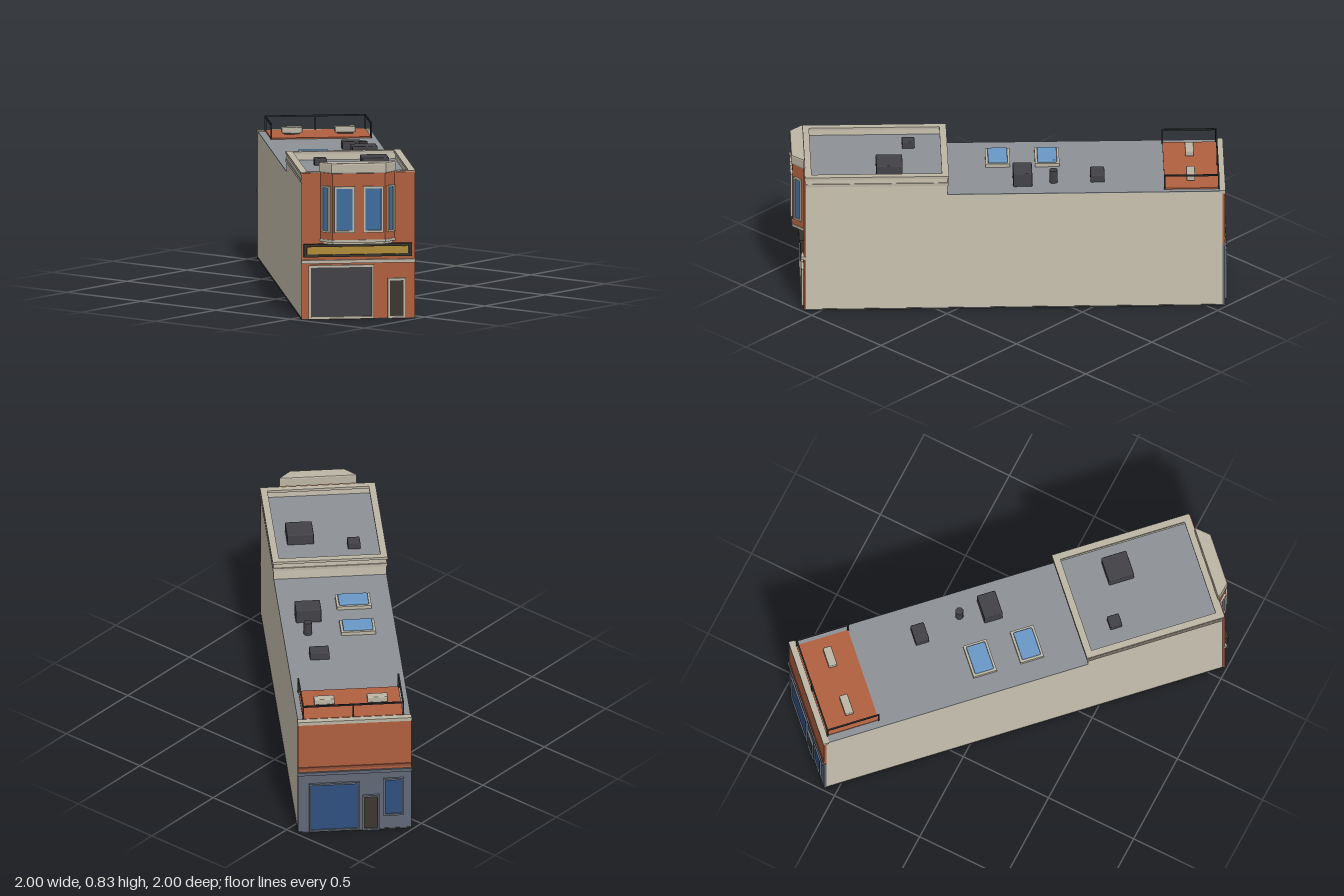
import * as THREE from 'three';
import { RoundedBoxGeometry } from 'three/addons/geometries/RoundedBoxGeometry.js';

const mat = (color) => new THREE.MeshStandardMaterial({ color });
const M = {
  wall: mat(0xc8c2b0), stone: mat(0xbdb6a6), brick: mat(0xb0603f), darkBrick: mat(0x8f4e36),
  roof: mat(0x8d9297), dark: mat(0x424146), base: mat(0x454749), shop: mat(0x626976),
  glass: mat(0x3f6d9c), shopGlass: mat(0x2f4f80), sky: mat(0x6a98c6), gold: mat(0xb08d38),
  door: mat(0x3d3630), sign: mat(0x37332c), metal: mat(0x2b2d30),
};

export function createModel() {
  const model = new THREE.Group();
  model.name = 'cornerShopBuilding';
  // The building is laid out along z, then turned 45 degrees.
  const b = new THREE.Group();
  b.name = 'building';
  b.rotation.y = Math.PI / 4;
  model.add(b);

  const add = (name, geo, m, parent = b) => {
    const mesh = new THREE.Mesh(geo, m);
    mesh.name = name;
    parent.add(mesh);
    return mesh;
  };
  // Box given by its limits on each axis
  const box = (name, m, x0, x1, y0, y1, z0, z1, parent = b) => {
    const mesh = add(name, new THREE.BoxGeometry(x1 - x0, y1 - y0, z1 - z0), m, parent);
    mesh.position.set((x0 + x1) / 2, (y0 + y1) / 2, (z0 + z1) / 2);
    return mesh;
  };
  // Rounded box standing at height y0
  const rbox = (name, m, x, z, w, d, y0, y1, r = 0.006) => {
    const mesh = add(name, new RoundedBoxGeometry(w, y1 - y0, d, 2, r), m);
    mesh.position.set(x, (y0 + y1) / 2, z);
  };
  const rectPts = (x0, x1, y0, y1) => [[x0, y0], [x1, y0], [x1, y1], [x0, y1]].map((p) => new THREE.Vector2(...p));
  const ring = (x0, x1, y0, y1, t, tz = t) => {
    const s = new THREE.Shape(rectPts(x0, x1, y0, y1));
    s.holes.push(new THREE.Path(rectPts(x0 + t, x1 - t, y0 + tz, y1 - tz)));
    return s;
  };
  // Plan outline (x, z) raised from y0 to y1
  const prism = (name, m, shape, y0, y1, bevel = 0) => {
    const g = new THREE.ExtrudeGeometry(shape, {
      depth: y1 - y0 - bevel * 2, bevelEnabled: bevel > 0, bevelSize: bevel,
      bevelThickness: bevel, bevelOffset: -bevel, bevelSegments: 2,
    });
    g.rotateX(Math.PI / 2).translate(0, y1 - bevel, 0);
    return add(name, g, m);
  };
  // Framed opening, facing +z, with its base centre at the origin
  const opening = (name, pane, w, h, x, y, z, turn = 0, t = 0.012, frame = M.stone) => {
    const g = new THREE.Group();
    g.name = name;
    g.position.set(x, y, z);
    g.rotation.y = turn;
    b.add(g);
    const f = new THREE.ExtrudeGeometry(ring(-w / 2, w / 2, 0, h, t), { depth: 0.012, bevelEnabled: false });
    add('frame', f, frame, g);
    box('pane', pane, -w / 2 + t, w / 2 - t, t, h - t, -0.002, 0.005, g);
  };

  const W = 0.296, F = 1.1, STEP = 0.35;

  // Main volumes
  box('base', M.base, -W - 0.002, W + 0.002, 0, 0.008, -1.102, F);
  box('rearBody', M.wall, -W, W, 0.008, 0.667, -1.09, STEP);
  box('rearRoof', M.roof, -W, W, 0.667, 0.671, -1.09, STEP);
  box('frontBody', M.wall, -W, W, 0.008, 0.73, STEP, 1.09);
  box('frontRoof', M.roof, -W + 0.01, W - 0.01, 0.73, 0.735, STEP + 0.01, 1.08);

  // Parapet with string courses
  prism('parapet', M.wall, ring(-W, W, STEP, 1.09, 0.024), 0.73, 0.768);
  prism('parapetCoping', M.stone, ring(-W - 0.006, W + 0.006, STEP - 0.008, 1.095, 0.036), 0.766, 0.78);
  prism('stringCourse', M.stone, ring(-W - 0.005, W + 0.005, STEP - 0.006, 1.09, 0.02), 0.724, 0.74);

  // Front facade
  box('frontFacade', M.brick, -W - 0.002, W + 0.002, 0.006, 0.775, 1.088, F);
  box('frontBelt', M.stone, -W - 0.004, W + 0.004, 0.298, 0.316, 1.09, F + 0.012);
  opening('shutter', M.dark, 0.345, 0.285, -0.09, 0.004, F);
  opening('frontDoor', M.door, 0.095, 0.212, 0.202, 0.004, F);

  // Sign board without lettering
  box('signBack', M.sign, -0.288, 0.28, 0.335, 0.4, F, F + 0.008);
  box('signPanel', M.gold, -0.268, 0.26, 0.347, 0.386, F, F + 0.013);
  box('signTop', M.sign, -0.288, 0.28, 0.388, 0.402, F, F + 0.024);
  box('signBottom', M.sign, -0.288, 0.28, 0.333, 0.345, F, F + 0.016);
  for (const x of [-0.288, 0.266]) box('signEnd', M.sign, x, x + 0.014, 0.335, 0.4, F, F + 0.018);

  // Bay window: outline grown by e
  const bay = (e) => new THREE.Shape([
    [-0.197 - e, 1.092], [0.191 + e, 1.092], [0.191 + e, F],
    [0.136 + e * 0.5, F + 0.055 + e], [-0.142 - e * 0.5, F + 0.055 + e], [-0.197 - e, F],
  ].map((p) => new THREE.Vector2(...p)));
  prism('bayCorbel', M.stone, bay(-0.012), 0.402, 0.416);
  prism('baySill', M.stone, bay(0.004), 0.414, 0.428);
  prism('bayWall', M.brick, bay(0), 0.426, 0.782);
  prism('bayCap', M.stone, bay(0.008), 0.778, 0.834, 0.008);
  for (const x of [-0.078, 0.072]) opening('bayWindow', M.glass, 0.108, 0.245, x, 0.466, F + 0.054);
  opening('bayRightWindow', M.glass, 0.052, 0.245, -0.1695, 0.466, F + 0.0265, -Math.PI / 4, 0.009);
  opening('bayLeftWindow', M.glass, 0.052, 0.245, 0.1635, 0.466, F + 0.0265, Math.PI / 4, 0.009);

  // Back facade
  box('backShopfront', M.shop, -W - 0.002, W + 0.002, 0.006, 0.356, -1.1, -1.088);
  box('backFacade', M.brick, -W - 0.002, W + 0.002, 0.356, 0.662, -1.1, -1.088);
  box('backBelt', M.shop, -W - 0.004, W + 0.004, 0.352, 0.37, -1.11, -1.09);
  box('backBrickCourse', M.darkBrick, -W, W, 0.386, 0.4, -1.105, -1.09);
  box('backCoping', M.stone, -W - 0.003, W + 0.003, 0.658, 0.677, -1.104, -1.072);
  opening('backShopWindow', M.shopGlass, 0.265, 0.29, 0.107, 0.01, -F, Math.PI, 0.01, M.shop);
  opening('backDoor', M.door, 0.09, 0.212, -0.085, 0.004, -F, Math.PI, 0.01, M.shop);
  opening('backWindow', M.shopGlass, 0.108, 0.225, -0.204, 0.088, -F, Math.PI, 0.01, M.shop);

  // Roof terrace with benches and railing
  box('terraceDeck', M.brick, -0.257, 0.268, 0.668, 0.678, -1.07, -0.787);
  for (const x of [-0.134, 0.145]) {
    rbox('benchSeat', M.stone, x, -0.925, 0.108, 0.045, 0.684, 0.716, 0.005);
    box('benchFoot', M.dark, x - 0.04, x + 0.04, 0.676, 0.686, -0.94, -0.91);
  }
  const r = 0.004, x0 = -0.257, x1 = 0.268, z0 = -1.068, z1 = -0.787;
  for (const [x, z] of [[x0, z0], [0.005, z0], [x1, z0], [x0, z1], [x1, z1]])
    box('railPost', M.metal, x - r, x + r, 0.67, 0.75, z - r, z + r);
  box('backRail', M.metal, x0 - r, x1 + r, 0.747, 0.755, z0 - r, z0 + r);
  for (const x of [x0, x1]) box('sideRail', M.metal, x - r, x + r, 0.747, 0.755, z0, z1 + r);

  // Skylights
  for (const z of [-0.18, 0.078]) {
    prism('skylightKerb', M.stone, ring(-0.188, -0.006, z - 0.064, z + 0.064, 0.014), 0.668, 0.69);
    rbox('skylightGlass', M.sky, -0.097, z, 0.156, 0.102, 0.668, 0.702);
  }

  // Roof plant: x, z, width, depth, base, top
  for (const [x, z, w, d, y0, y1] of [
    [0.127, -0.438, 0.102, 0.074, 0.668, 0.713],
    [0.152, -0.046, 0.134, 0.1, 0.668, 0.747],
    [0.134, 0.65, 0.14, 0.138, 0.732, 0.793],
    [-0.141, 0.544, 0.066, 0.066, 0.732, 0.772],
  ]) rbox('ventUnit', M.dark, x, z, w, d, y0, y1);
  const flue = add('flue', new THREE.CylinderGeometry(0.022, 0.022, 0.072, 8), M.dark);
  flue.position.set(0.166, 0.706, -0.208);

  return model;
}
